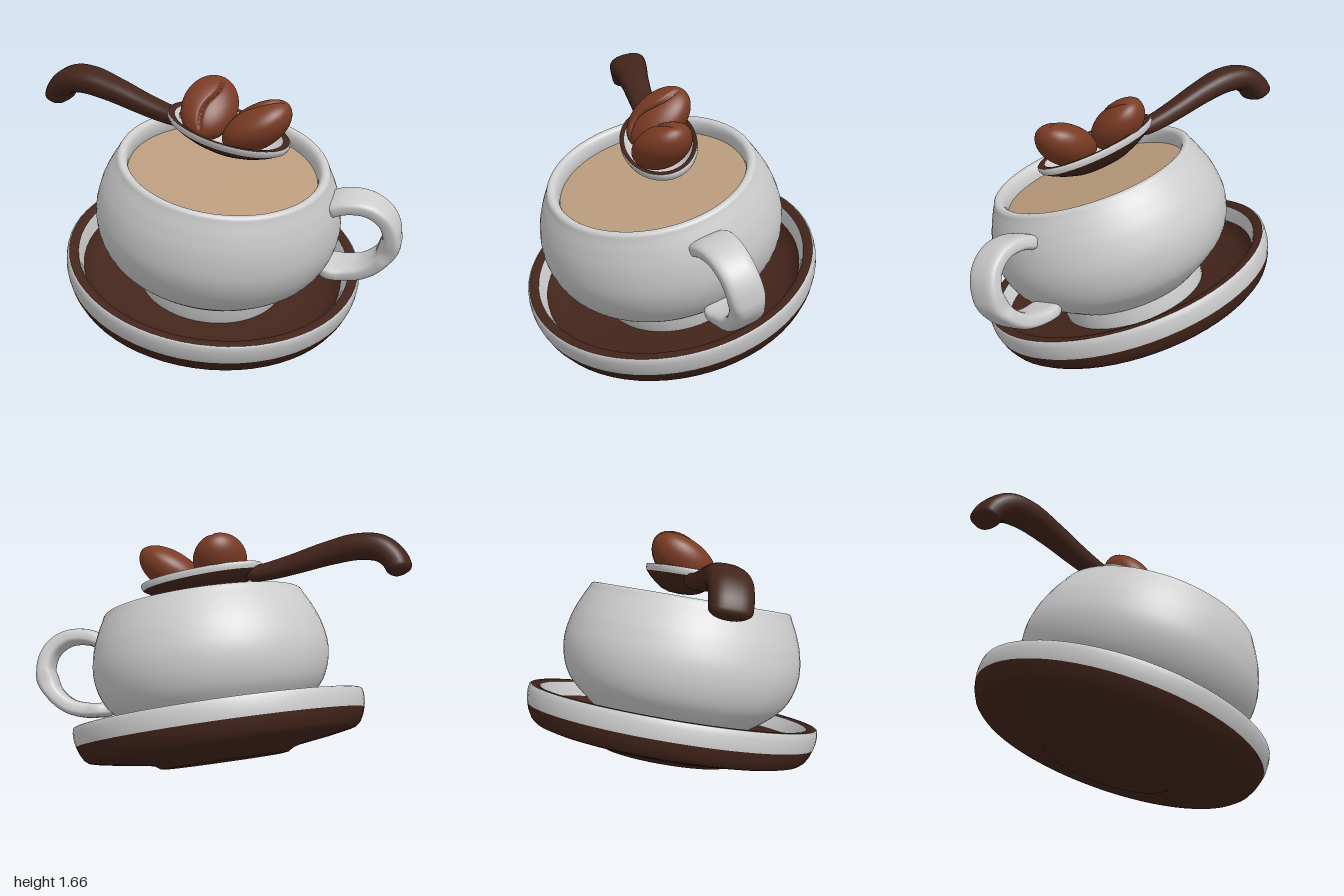
import * as THREE from 'three';

const material = (color) => new THREE.MeshStandardMaterial({ color, side: THREE.DoubleSide });
const white = material(0xcccccc);
const dark = material(0x42241a);
const coffeeBrown = material(0xb89a7c);
const beanBrown = material(0x7a3b24);

function add(parent, name, geometry, mat) {
  const mesh = new THREE.Mesh(geometry, mat);
  mesh.name = name;
  parent.add(mesh);
  return mesh;
}

// Turned part from [radius, height] points; smooth runs them through a spline
function lathe(points, smooth = 0) {
  let pts = points.map(([r, y]) => new THREE.Vector2(r, y));
  if (smooth) pts = new THREE.SplineCurve(pts).getPoints(smooth);
  pts.forEach((p) => { p.x = Math.max(p.x, 0); });
  return new THREE.LatheGeometry(pts, 64);
}

// Sweep a rounded section along a path in the xy plane.
// Rows are [x, y, half width along z, half thickness]; both ends are rounded.
function sweep(rows, power) {
  const path = new THREE.CatmullRomCurve3(rows.map(([x, y]) => new THREE.Vector3(x, y, 0)));
  const size = new THREE.CatmullRomCurve3(rows.map(([, , w, t]) => new THREE.Vector3(w, t, 0)));
  const steps = 72, sides = 32, end = 0.07;
  const bend = (v) => Math.sign(v) * Math.abs(v) ** power;
  const pos = [], index = [];
  for (let i = 0; i <= steps; i++) {
    // Ease the parameter so rows gather at the rounded ends
    const u = (1 - Math.cos((Math.PI * i) / steps)) / 2;
    const d = Math.min(1, Math.min(u, 1 - u) / end);
    const k = Math.sqrt(1 - (1 - d) ** 2);
    const c = path.getPoint(u), t = path.getTangent(u), s = size.getPoint(u);
    for (let j = 0; j < sides; j++) {
      const a = (j / sides) * Math.PI * 2;
      const n = bend(Math.cos(a)) * s.y * k;
      pos.push(c.x - t.y * n, c.y + t.x * n, bend(Math.sin(a)) * s.x * k);
      if (i === steps) continue;
      const p = i * sides + j, q = i * sides + ((j + 1) % sides);
      index.push(p, q, p + sides, q, q + sides, p + sides);
    }
  }
  const g = new THREE.BufferGeometry();
  g.setAttribute('position', new THREE.Float32BufferAttribute(pos, 3));
  g.setIndex(index);
  g.computeVertexNormals();
  return g;
}

// Ellipsoid with a flatter upper face and an S-shaped crease along it
function beanGeometry() {
  const g = new THREE.SphereGeometry(1, 80, 80);
  const p = g.attributes.position;
  for (let i = 0; i < p.count; i++) {
    const x = p.getX(i), z = p.getZ(i);
    let y = p.getY(i);
    if (y > 0) {
      const crease = z - 0.16 * Math.sin(x * 3.4);
      const fade = Math.max(0, 1 - Math.abs(x) ** 4);
      y = 0.8 * y - 0.2 * fade * Math.min(1, y * 2) * Math.exp(-((crease / 0.065) ** 2));
    }
    p.setXYZ(i, x * 0.235, y * 0.145, z * 0.175);
  }
  g.computeVertexNormals();
  return g;
}

function bean(parent, name, center, along, up) {
  const x = new THREE.Vector3(...along).normalize();
  const z = x.clone().cross(new THREE.Vector3(...up)).normalize();
  const y = z.clone().cross(x);
  const mesh = add(parent, name, beanGeometry(), beanBrown);
  mesh.quaternion.setFromRotationMatrix(new THREE.Matrix4().makeBasis(x, y, z));
  mesh.position.set(...center);
}

export function createModel() {
  const model = new THREE.Group();
  model.name = 'coffeeCup';

  // Everything but the beans shares one forward tilt; y = 0 here is the saucer rim
  const tilted = new THREE.Group();
  tilted.name = 'tiltedSet';
  tilted.position.set(-0.045, 0.505, 0.02);
  tilted.rotation.x = 0.315;
  model.add(tilted);

  // Saucer
  const saucer = new THREE.Group();
  saucer.name = 'saucer';
  tilted.add(saucer);
  add(saucer, 'saucerBase', lathe([[0, -0.34], [0.38, -0.343], [0.42, -0.338], [0.455, -0.315],
    [0.5, -0.303], [0.7, -0.275], [0.84, -0.25], [0.875, -0.24], [0.905, -0.215], [0.93, -0.17], [0.945, -0.125]]), dark);
  add(saucer, 'saucerOuterBand', lathe([[0.945, -0.125], [0.953, -0.09], [0.955, -0.04], [0.95, -0.006], [0.94, 0]]), white);
  add(saucer, 'saucerRim', lathe([[0.94, 0], [0.91, 0.002], [0.88, -0.008]]), dark);
  add(saucer, 'saucerInnerBand', lathe([[0.88, -0.008], [0.865, -0.04], [0.845, -0.1]]), white);
  add(saucer, 'saucerFloor', lathe([[0.845, -0.1], [0.82, -0.145], [0.76, -0.18], [0.6, -0.21], [0, -0.22]]), dark);

  // Cup with its foot, and the drink inside
  const cup = new THREE.Group();
  cup.name = 'cup';
  tilted.add(cup);
  add(cup, 'cupFoot', lathe([[0.47, -0.23], [0.478, -0.16], [0.47, -0.07]]), white);
  add(cup, 'cupBody', lathe([[0.3, -0.14], [0.45, -0.115], [0.53, -0.065], [0.62, 0.005], [0.705, 0.09],
    [0.758, 0.2], [0.777, 0.33], [0.755, 0.47], [0.715, 0.58], [0.673, 0.665], [0.655, 0.7],
    [0.63, 0.708], [0.605, 0.69], [0.592, 0.64], [0.597, 0.56]], 90), white);
  add(cup, 'coffee', lathe([[0.6, 0.605], [0.55, 0.61], [0, 0.612]]), coffeeBrown);
  const handle = add(cup, 'cupHandle', sweep([
    [0.66, 0.53, 0.135, 0.05], [0.79, 0.6, 0.125, 0.05], [0.93, 0.61, 0.115, 0.05],
    [1.045, 0.545, 0.11, 0.052], [1.1, 0.42, 0.11, 0.055], [1.07, 0.28, 0.11, 0.055],
    [0.97, 0.165, 0.115, 0.052], [0.84, 0.115, 0.12, 0.05], [0.66, 0.1, 0.12, 0.05]], 0.6), white);
  handle.rotation.y = -0.545;

  // Spoon: oval bowl and a flared handle that curls down at its end
  const spoon = new THREE.Group();
  spoon.name = 'spoon';
  spoon.position.set(0.035, 0, -0.097);
  spoon.rotation.y = 2.319;
  tilted.add(spoon);
  const bowlPart = (name, points, mat) =>
    add(spoon, name, lathe(points).scale(0.42, 1, 0.235), mat).position.setY(0.885);
  bowlPart('spoonBowl', [[0, -0.165], [0.3, -0.16], [0.5, -0.143], [0.7, -0.11], [0.86, -0.075], [0.97, -0.045]], dark);
  bowlPart('spoonOuterBand', [[0.97, -0.045], [1, -0.025], [1, -0.005], [0.985, 0]], white);
  bowlPart('spoonRim', [[0.985, 0], [0.93, 0.002], [0.88, -0.006]], dark);
  bowlPart('spoonInside', [[0.88, -0.006], [0.8, -0.045], [0.6, -0.09], [0.3, -0.12], [0, -0.125]], white);
  add(spoon, 'spoonHandle', sweep([
    [0.3, 0.815, 0.07, 0.045], [0.46, 0.81, 0.072, 0.055], [0.63, 0.82, 0.08, 0.062],
    [0.86, 0.842, 0.095, 0.072], [1.06, 0.845, 0.118, 0.08], [1.2, 0.805, 0.127, 0.083],
    [1.275, 0.72, 0.125, 0.08], [1.3, 0.62, 0.12, 0.075]], 0.8), dark);

  // Coffee beans resting in the spoon
  bean(model, 'backBean', [-0.09, 1.475, 0.075], [0.5, 0.66, -0.56], [-0.1, 0.65, 0.7]);
  bean(model, 'frontBean', [0.12, 1.405, 0.36], [0.78, 0.5, 0.38], [-0.5, 0.86, -0.1]);

  return model;
}
